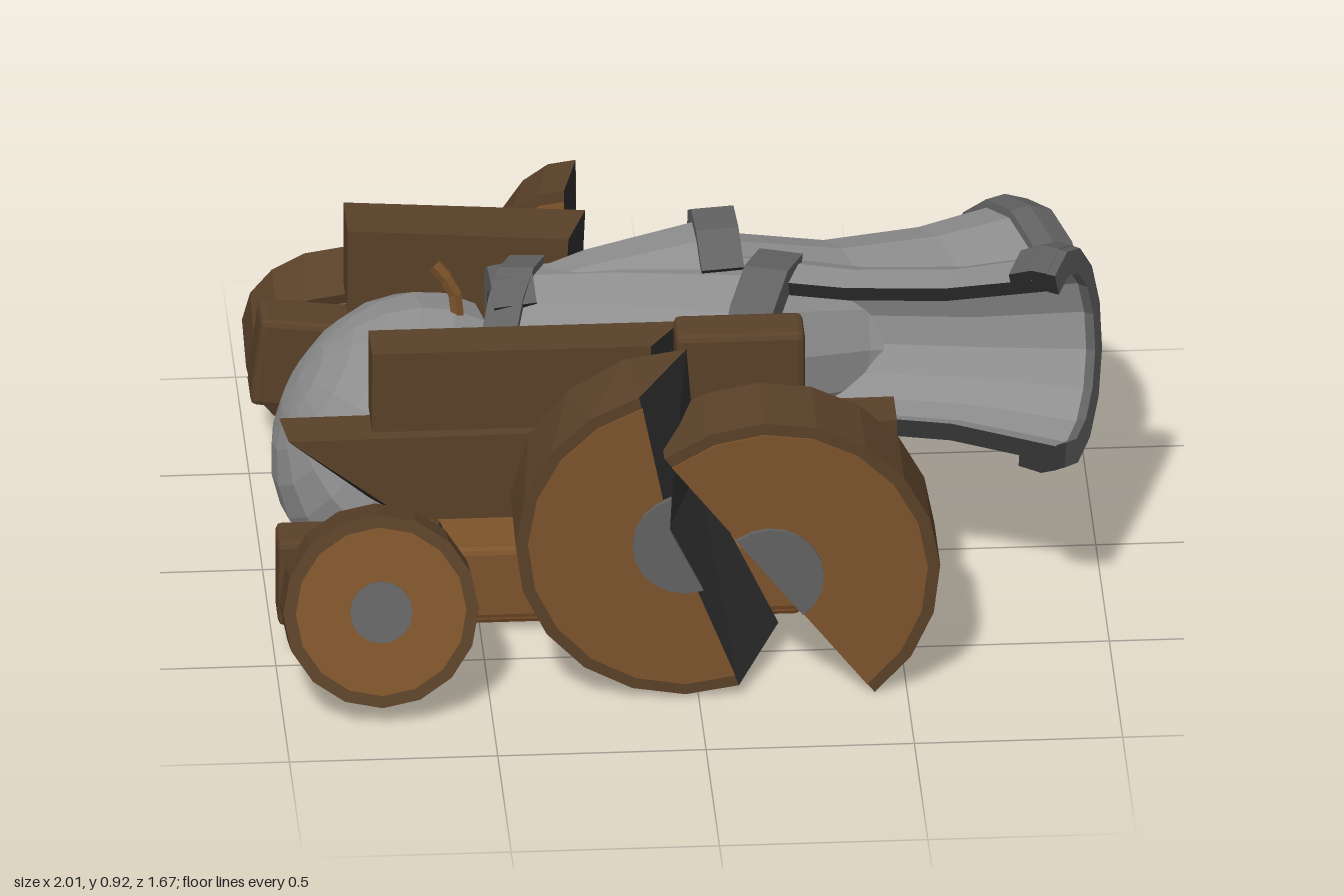
import * as THREE from 'three';
import { RoundedBoxGeometry } from 'three/addons/geometries/RoundedBoxGeometry.js';

const mat = (name, color, extra = {}) => {
  const m = new THREE.MeshStandardMaterial({ color, flatShading: true, ...extra });
  m.name = name;
  return m;
};

export function createModel() {
  const root = new THREE.Group();
  root.name = 'brokenCannon';
  const darkWood = mat('darkWood', 0x5a4129);
  const lightWood = mat('lightWood', 0x7d532b);
  const iron = mat('iron', 0x8e8e8e, { side: THREE.DoubleSide });
  const darkIron = mat('darkIron', 0x626262, { side: THREE.DoubleSide });
  const black = mat('charredBreak', 0x2c2c2c, { side: THREE.DoubleSide });
  const V = (x, y, z) => new THREE.Vector3(x, y, z);

  const add = (name, geo, material, parent = root) => {
    const m = new THREE.Mesh(geo, material);
    m.name = name;
    parent.add(m);
    return m;
  };

  // Box given by its limits, with slightly bevelled edges
  const block = (name, x0, x1, y0, y1, z0, z1, material) => {
    const m = add(name, new RoundedBoxGeometry(x1 - x0, y1 - y0, z1 - z0, 1, 0.015), material);
    m.position.set((x0 + x1) / 2, (y0 + y1) / 2, (z0 + z1) / 2);
    return m;
  };

  // Solid between a front and a back outline; listed edges become broken faces
  const loft = (name, F, B, zf, zb, material, broken = [], parent = root) => {
    const body = [], cut = [];
    const f = F.map(p => [p[0], p[1], zf]), b = B.map(p => [p[0], p[1], zb]);
    const tris = P => THREE.ShapeUtils.triangulateShape(P.map(p => new THREE.Vector2(p[0], p[1])), []);
    tris(F).forEach(t => body.push(f[t[0]], f[t[1]], f[t[2]]));
    tris(B).forEach(t => body.push(b[t[0]], b[t[2]], b[t[1]]));
    F.forEach((_, i) => {
      const j = (i + 1) % F.length;
      (broken.includes(i) ? cut : body).push(f[i], b[i], b[j], f[i], b[j], f[j]);
    });
    const geo = new THREE.BufferGeometry();
    geo.setAttribute('position', new THREE.Float32BufferAttribute([...body, ...cut].flat(), 3));
    geo.addGroup(0, body.length, 0);
    geo.addGroup(body.length, cut.length, 1);
    geo.computeVertexNormals();
    return add(name, geo, [material, black], parent);
  };

  // Sector outline: hub point followed by an arc (degrees)
  const sector = (r, a0, a1, sx, hub) => {
    const n = 10, pts = [hub];
    for (let i = 0; i <= n; i++) {
      const a = THREE.MathUtils.degToRad(a0 + (a1 - a0) * i / n);
      pts.push([sx * r * Math.cos(a), r * Math.sin(a)]);
    }
    return pts;
  };

  // Broken wheel piece with dark tread, light faces and optional hub stubs
  const wheelPiece = (name, pos, r, depth, front, back, { sx = 1, hf = [0, 0], hb = [0, 0], hubs = false }) => {
    const g = new THREE.Group();
    g.name = name;
    g.position.copy(pos);
    root.add(g);
    const d = depth / 2;
    const F = rr => sector(rr, ...front, sx, hf), B = rr => sector(rr, ...back, sx, hb);
    loft('tread', F(r), B(r), d, -d, darkWood, [0, 11], g);
    loft('frontFace', F(r - 0.03), F(r - 0.03), d + 0.005, d - 0.002, lightWood, [], g);
    loft('backFace', B(r - 0.03), B(r - 0.03), 0.002 - d, -d - 0.005, lightWood, [], g);
    if (hubs) {
      loft('frontHub', F(0.13), F(0.13), d + 0.016, d, darkIron, [], g);
      loft('backHub', B(0.13), B(0.13), -d, -d - 0.016, darkIron, [], g);
    }
    return g;
  };

  // Large wheels, each split in two
  wheelPiece('leftWheelRearHalf', V(-0.03, 0.42, 0.618), 0.41, 0.215, [106, 288], [88, 305],
    { hf: [-0.04, 0.04], hb: [0.04, 0.08], hubs: true });
  wheelPiece('leftWheelFrontHalf', V(0.17, 0.325, 0.62), 0.41, 0.215, [-52, 128], [-52, 128], { hubs: true });
  wheelPiece('rightWheelRearPiece', V(-0.22, 0.37, -0.64), 0.33, 0.18, [90, 270], [90, 270], { sx: 0.66 })
    .rotation.set(-0.05, -0.22, 0);
  wheelPiece('rightWheelFrontPiece', V(0.08, 0.12, -0.6), 0.36, 0.15, [0, 180], [0, 180], { sx: 0.77 })
    .rotation.x = -0.32;

  // Small rear wheels, splayed outward at the bottom
  for (const side of [1, -1]) {
    const w = new THREE.Group();
    w.name = side > 0 ? 'leftSmallWheel' : 'rightSmallWheel';
    w.position.set(-0.765, 0.255, 0.69 * side);
    w.rotation.x = -0.3 * side;
    root.add(w);
    const disc = (name, r, h, m) => {
      add(name, new THREE.CylinderGeometry(r, r, h, 16), m, w).rotation.x = Math.PI / 2;
    };
    disc('tread', 0.235, 0.16, darkWood);
    disc('face', 0.205, 0.168, lightWood);
    disc('hub', 0.075, 0.19, darkIron);
  }

  // Left side of the carriage
  loft('leftUpperRail', [[-0.77, 0.63], [-0.1, 0.63], [-0.1, 0.84], [-0.77, 0.84]],
    [[-0.77, 0.63], [-0.02, 0.63], [-0.02, 0.84], [-0.77, 0.84]], 0.51, 0.385, darkWood, [1]);
  block('leftUpperRailEnd', -0.04, 0.27, 0.635, 0.86, 0.385, 0.51, darkWood);
  loft('leftLowerRail', [[-0.68, 0.39], [0.49, 0.39], [0.49, 0.62], [-0.97, 0.61]],
    [[-0.77, 0.39], [0.49, 0.39], [0.49, 0.62], [-0.985, 0.61]], 0.51, 0.385, darkWood, [3]);

  // Fallen end of the left lower rail, snapped off at its front
  block('leftRailFallenEnd', -0.995, -0.6, 0.11, 0.335, 0.385, 0.51, darkWood);
  block('leftRailFallenBreak', -0.63, -0.595, 0.115, 0.33, 0.388, 0.507, black);

  // Right side of the carriage, sagging towards the front
  const rail = block('rightLowerRail', -0.995, 0.49, 0.14, 0.37, -0.545, -0.41, darkWood);
  rail.rotation.z = -0.12;
  loft('rightUpperRail', [[-0.77, 0.48], [-0.25, 0.43], [-0.24, 0.66], [-0.77, 0.7]],
    [[-0.77, 0.48], [-0.2, 0.43], [-0.19, 0.66], [-0.77, 0.7]], -0.4, -0.55, darkWood, [1]);
  loft('rightUpperRailEnd', [[-0.24, 0.405], [0.27, 0.33], [0.27, 0.5], [0.16, 0.52]],
    [[-0.2, 0.4], [0.27, 0.33], [0.27, 0.5], [0.07, 0.52]], -0.41, -0.55, darkWood, [3]);

  // Tilted floor with raised edge
  const floor = block('floor', -0.77, 0.27, 0.055, 0.135, -0.52, 0.36, lightWood);
  floor.rotation.x = 0.08;
  block('floorEdge', -0.77, 0.27, 0.04, 0.23, 0.33, 0.37, lightWood);

  // Breech dome, slightly flattened along its axis, and fuse
  const dome = new THREE.Group();
  dome.name = 'breechDome';
  dome.position.set(-0.66, 0.34, -0.03);
  dome.rotation.z = Math.PI / 2 - 0.58;
  root.add(dome);
  const shell = add('domeShell', new THREE.SphereGeometry(0.358, 16, 6, 0, Math.PI * 2, 0, Math.PI / 2), iron, dome);
  shell.scale.y = 0.84;
  add('domeBase', new THREE.CircleGeometry(0.356, 16), iron, dome).rotation.x = Math.PI / 2;
  const fuse = new THREE.CatmullRomCurve3([V(-0.53, 0.62, -0.03), V(-0.54, 0.73, -0.03), V(-0.59, 0.8, -0.03)]);
  add('fuse', new THREE.TubeGeometry(fuse, 4, 0.018, 6), lightWood);

  // Pipe section from a to b; "mid" points to the middle of the remaining wall
  const pipe = (name, a, b, mid, arc, rings) => {
    const Y = b.clone().sub(a), L = Y.length();
    Y.normalize();
    const Z = mid.clone().addScaledVector(Y, -mid.dot(Y)).normalize();
    const g = new THREE.Group();
    g.name = name;
    g.quaternion.setFromRotationMatrix(new THREE.Matrix4().makeBasis(Y.clone().cross(Z), Y, Z));
    g.position.copy(a);
    root.add(g);
    for (const [part, m, thick, outer] of rings) {
      const pts = outer.map(([r, t]) => new THREE.Vector2(r, t * L));
      const inner = outer.map(([r, t]) => new THREE.Vector2(r - thick, t * L)).reverse();
      const loop = [...pts, ...inner];
      add(part, new THREE.LatheGeometry([...loop, loop[0]], Math.round(arc * 14 / 6.28), -arc / 2, arc), m, g);
      if (arc < 6.2) for (const phi of [-arc / 2, arc / 2])
        add(part + 'Break', new THREE.ShapeGeometry(new THREE.Shape(loop)), black, g).rotation.y = phi - Math.PI / 2;
    }
  };

  // Chamber, split into two shells
  pipe('upperChamber', V(-0.44, 0.53, -0.1), V(0.16, 0.56, -0.12), V(0, 0.4, -0.9), 3.5, [
    ['breechBand', darkIron, 0.06, [[0.2, 0], [0.21, 0.17]]],
    ['chamberWall', iron, 0.05, [[0.18, 0.17], [0.22, 0.4], [0.265, 0.85]]],
    ['chamberBand', darkIron, 0.07, [[0.295, 0.83], [0.295, 1]]],
  ]);
  pipe('lowerChamber', V(-0.42, 0.53, -0.13), V(0.26, 0.53, 0.1), V(0, 0.3, 0.95), 3.3, [
    ['breechBand', darkIron, 0.06, [[0.21, 0], [0.22, 0.12]]],
    ['chamberWall', iron, 0.05, [[0.2, 0.12], [0.235, 0.4], [0.275, 0.88]]],
    ['chamberBand', darkIron, 0.07, [[0.3, 0.85], [0.3, 1]]],
  ]);

  // Whole barrel, bent to the right
  pipe('rightBarrel', V(0.1, 0.54, -0.09), V(0.88, 0.41, -0.405), V(0, 1, 0), Math.PI * 2, [
    ['barrelWall', iron, 0.05, [[0.26, 0], [0.22, 0.35], [0.235, 0.65], [0.275, 0.9]]],
    ['muzzleBand', darkIron, 0.08, [[0.29, 0.87], [0.3, 0.93], [0.285, 1]]],
  ]);

  // Torn barrel, open along its left side
  pipe('leftBarrel', V(0.15, 0.58, 0.02), V(0.925, 0.655, 0.28), V(0, -0.17, -0.98), 4.0, [
    ['barrelWall', iron, 0.04, [[0.22, 0], [0.2, 0.35], [0.21, 0.65], [0.255, 0.97]]],
    ['muzzleBand', darkIron, 0.03, [[0.265, 0.86], [0.28, 0.93], [0.272, 0.975]]],
    ['muzzleLip', darkIron, 0.06, [[0.272, 0.97], [0.265, 1]]],
  ]);

  return root;
}
